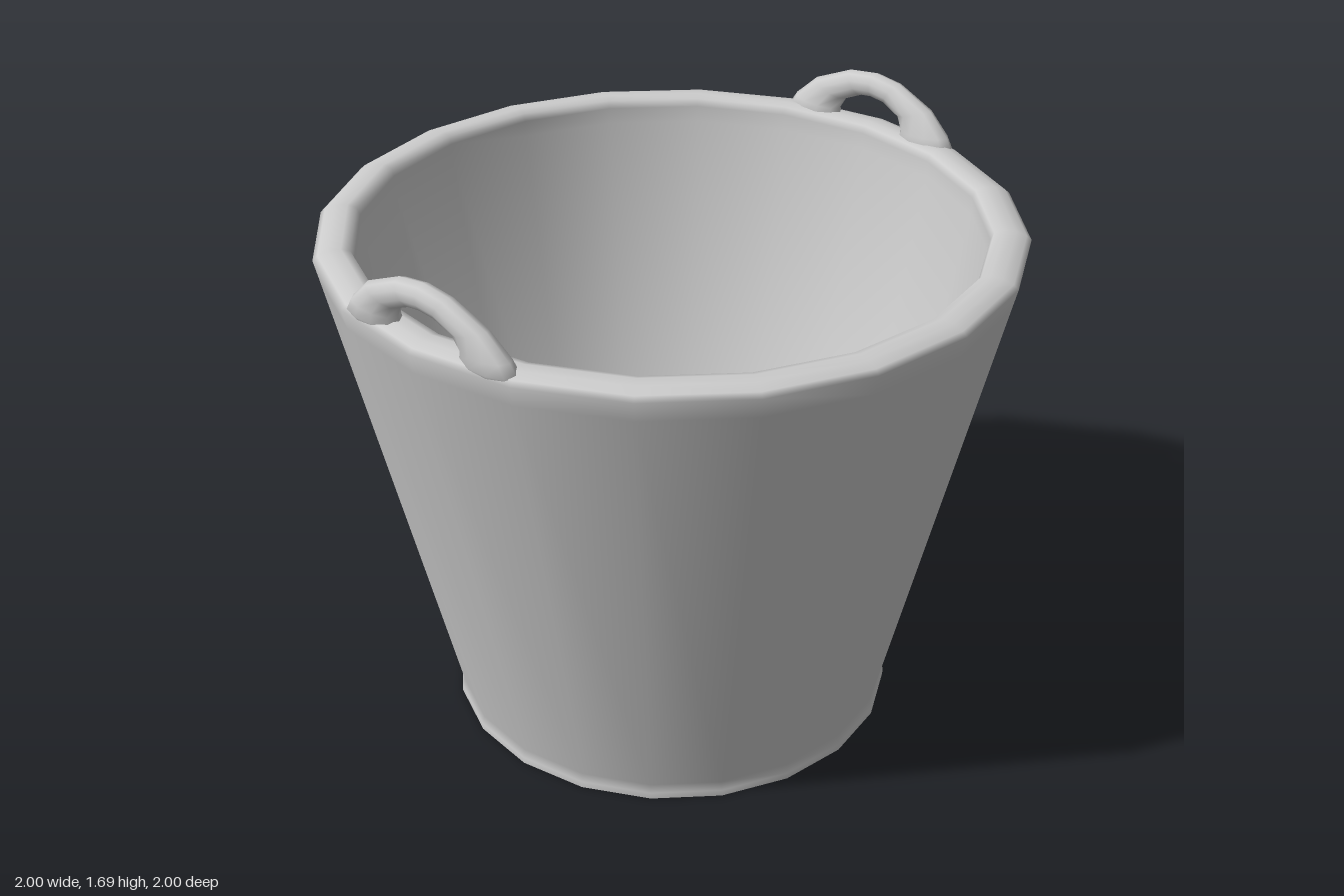
import * as THREE from 'three';

const SIDES = 20;
const material = new THREE.MeshStandardMaterial({ color: 0xcccccc });

function lathe(name, profile) {
  const points = profile.map(([r, y]) => new THREE.Vector2(r, y));
  const mesh = new THREE.Mesh(new THREE.LatheGeometry(points, SIDES), material);
  mesh.name = name;
  return mesh;
}

// Arched grip: oval sections strung between an outer and an inner outline
function handleGeometry() {
  // outer x, outer y, inner x, inner y, half depth, z
  const half = [
    [0.285, 1.50, 0.125, 1.50, 0.036, 0.918],
    [0.307, 1.525, 0.11, 1.525, 0.047, 0.92],
    [0.285, 1.56, 0.118, 1.55, 0.042, 0.923],
    [0.215, 1.625, 0.10, 1.585, 0.036, 0.93],
    [0.09, 1.68, 0.045, 1.61, 0.033, 0.935],
    [0, 1.692, 0, 1.615, 0.033, 0.936],
  ];
  const mirrored = half.slice(0, -1).reverse().map(([a, b, c, d, e, z]) => [-a, b, -c, d, e, z]);
  const sections = [...half, ...mirrored];
  const ring = 10, position = [], index = [];
  for (const [ox, oy, ix, iy, depth, z] of sections) {
    for (let j = 0; j < ring; j++) {
      const a = (j / ring) * Math.PI * 2, c = Math.cos(a);
      position.push(
        (ox + ix) / 2 + ((ox - ix) / 2) * c,
        (oy + iy) / 2 + ((oy - iy) / 2) * c,
        z + depth * Math.sin(a)
      );
    }
  }
  for (let i = 0; i < sections.length - 1; i++) {
    for (let j = 0; j < ring; j++) {
      const a = i * ring + j, b = i * ring + ((j + 1) % ring);
      index.push(a, a + ring, b, b, a + ring, b + ring);
    }
  }
  // close both feet
  const last = (sections.length - 1) * ring;
  for (let j = 1; j < ring - 1; j++) {
    index.push(0, j, j + 1, last, last + j + 1, last + j);
  }
  const geometry = new THREE.BufferGeometry();
  geometry.setAttribute('position', new THREE.Float32BufferAttribute(position, 3));
  geometry.setIndex(index);
  geometry.computeVertexNormals();
  return geometry;
}

export function createModel() {
  const bucket = new THREE.Group();
  bucket.name = 'bucket';

  // Underside
  bucket.add(lathe('base', [[0, 0], [0.662, 0]]));

  // Foot, tapered wall, rounded rim and inside in one smooth skin
  bucket.add(lathe('shell', [
    [0.662, 0], [0.662, 0.02], [0.655, 0.045], [0.985, 1.455], [0.999, 1.514],
    [0.985, 1.527], [0.955, 1.538], [0.92, 1.54], [0.895, 1.532], [0.886, 1.51],
    [0.888, 1.46], [0.61, 0.05], [0, 0.05],
  ]));

  // Handles on the front and back of the rim
  const geometry = handleGeometry();
  ['frontHandle', 'backHandle'].forEach((name, i) => {
    const handle = new THREE.Mesh(geometry, material);
    handle.name = name;
    handle.rotation.y = i * Math.PI;
    bucket.add(handle);
  });

  return bucket;
}
